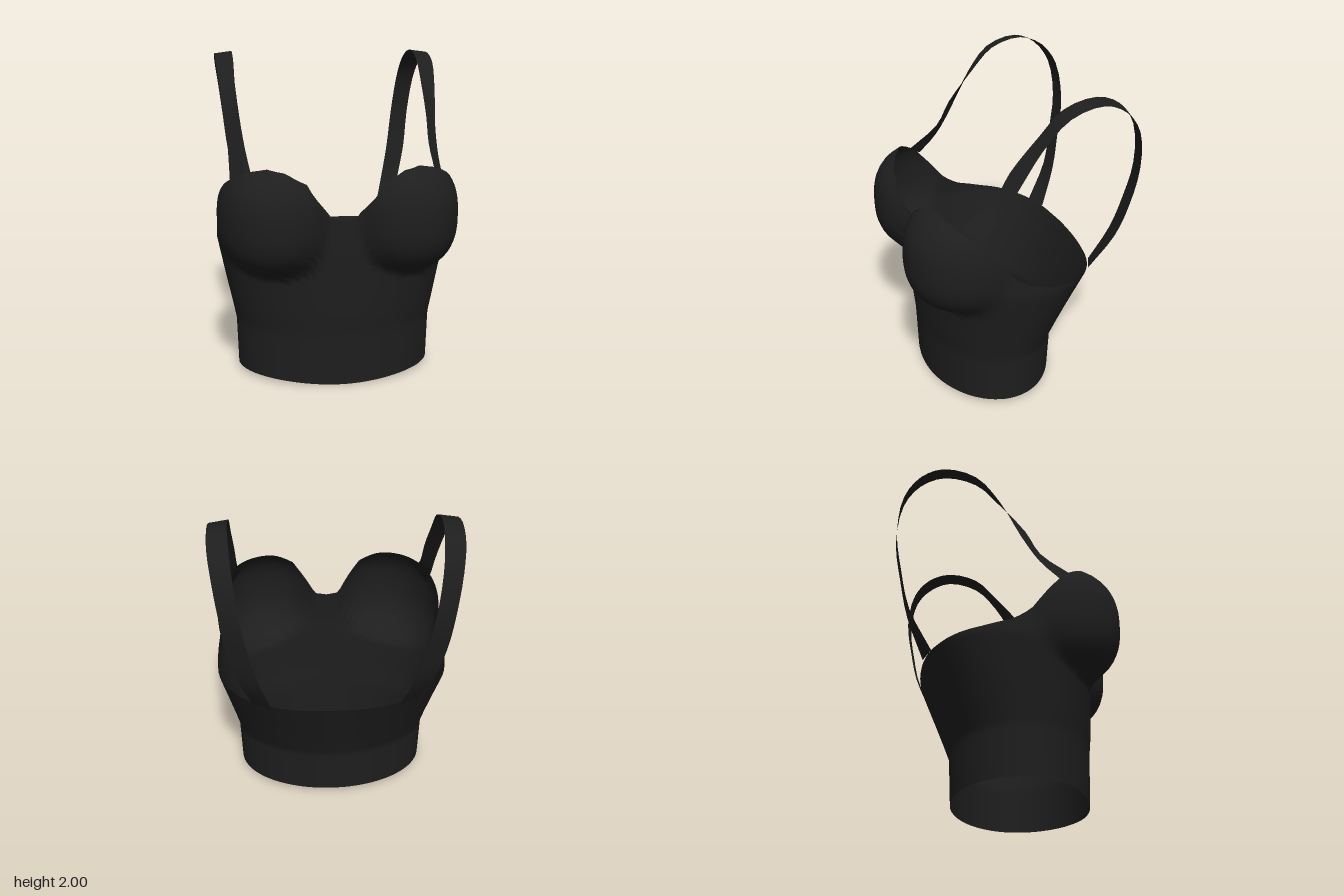
import * as THREE from 'three';

const AXIS_Z = 0.1; // the body is swept around this vertical axis

// piecewise-linear lookup in rows of [key, value, value...]
function lookup(rows, key, col) {
  if (key <= rows[0][0]) return rows[0][col];
  for (let i = 1; i < rows.length; i++) {
    const a = rows[i - 1], b = rows[i];
    if (key <= b[0]) return a[col] + (b[col] - a[col]) * (key - a[0]) / (b[0] - a[0]);
  }
  return rows[rows.length - 1][col];
}

// torso sections: height, half width, front z, back z, roundness exponent
const SECTIONS = [
  [0.0, 0.62, 0.51, -0.33, 2.0],
  [0.33, 0.63, 0.52, -0.345, 2.0],
  [0.45, 0.655, 0.53, -0.39, 2.1],
  [0.6, 0.688, 0.535, -0.45, 2.2],
  [0.85, 0.74, 0.54, -0.55, 2.45],
  [1.05, 0.73, 0.53, -0.57, 2.4],
  [1.4, 0.66, 0.48, -0.57, 2.2],
];

// neckline from centre front round to centre back: x, z, height
const NECKLINE = [
  [0, 0.53, 1.045], [0.08, 0.53, 1.06], [0.16, 0.57, 1.18], [0.24, 0.6, 1.28],
  [0.36, 0.57, 1.345], [0.48, 0.53, 1.365], [0.57, 0.47, 1.345], [0.62, 0.41, 1.31],
  [0.66, 0.32, 1.25], [0.7, 0.22, 1.12], [0.725, 0.13, 1.0], [0.735, 0.03, 0.93],
  [0.74, -0.15, 0.885], [0.6, -0.4, 0.845], [0.25, -0.53, 0.82], [0, -0.54, 0.82],
].map(([x, z, y]) => [Math.atan2(x, z - AXIS_Z), y]);

function torsoRadius(sx, cz, y) {
  const [w, f, b, n] = [1, 2, 3, 4].map((c) => lookup(SECTIONS, y, c));
  const mid = (f + b) / 2, depth = (f - b) / 2;
  let lo = 0, hi = 1.2;
  for (let i = 0; i < 24; i++) {
    const r = (lo + hi) / 2;
    const d = Math.abs(r * sx / w) ** n + Math.abs((AXIS_Z + r * cz - mid) / depth) ** n;
    if (d < 1) lo = r; else hi = r;
  }
  return lo;
}

// far side of the rounded cup along a ray from the axis
function cupRadius(sx, cz, y) {
  const dy = Math.abs(y - 1.04) / 0.36;
  if (dy >= 1 || cz < -0.3) return 0;
  const s = (1 - dy ** 2.5) ** 0.4;
  const rx = 0.355 * s, rz = 0.393 * s, ox = -0.39 / rx, oz = (AXIS_Z - 0.3) / rz;
  const dx = Math.abs(sx) / rx, dz = cz / rz;
  const a = dx * dx + dz * dz, b = ox * dx + oz * dz, c = ox * ox + oz * oz - 1;
  const disc = b * b - a * c;
  return disc < 0 ? 0 : (-b + Math.sqrt(disc)) / a;
}

function smoothMax(a, b, k) {
  const h = Math.max(k - Math.abs(a - b), 0) / k;
  return Math.max(a, b) + h * h * k * 0.25;
}

function gridGeometry(positions, index) {
  const g = new THREE.BufferGeometry();
  g.setAttribute('position', new THREE.Float32BufferAttribute(positions, 3));
  g.setIndex(index);
  g.computeVertexNormals();
  return g;
}

function bodiceGeometry() {
  const cols = 112, rows = 36, pos = [], index = [];
  for (let j = 0; j <= rows; j++) {
    for (let i = 0; i < cols; i++) {
      const t = (i / cols) * Math.PI * 2 - Math.PI;
      const sx = Math.sin(t), cz = Math.cos(t);
      const bottom = 0.027 - 0.027 * Math.max(0, cz) ** 2;
      const y = bottom + (lookup(NECKLINE, Math.abs(t), 1) - bottom) * j / rows;
      const r = smoothMax(torsoRadius(sx, cz, y), cupRadius(sx, cz, y), 0.02);
      pos.push(r * sx, y, AXIS_Z + r * cz);
      if (j < rows) {
        const a = j * cols + i, b = j * cols + (i + 1) % cols;
        index.push(a, b, a + cols, b, b + cols, a + cols);
      }
    }
  }
  return gridGeometry(pos, index);
}

// strap edges from cup to back: inner x, y, z, outer x, y, z
const STRAP = [
  [0.58, 1.31, 0.4, 0.66, 1.24, 0.31],
  [0.59, 1.455, 0.2, 0.66, 1.36, 0.19],
  [0.595, 1.61, 0.11, 0.665, 1.53, 0.08],
  [0.6, 1.81, -0.06, 0.69, 1.76, -0.05],
  [0.6, 1.95, -0.2, 0.71, 1.93, -0.2],
  [0.6, 2.0, -0.4, 0.713, 1.985, -0.4],
  [0.59, 1.94, -0.55, 0.71, 1.925, -0.54],
  [0.575, 1.8, -0.652, 0.69, 1.79, -0.64],
  [0.545, 1.54, -0.69, 0.66, 1.55, -0.675],
  [0.51, 1.3, -0.655, 0.63, 1.3, -0.64],
  [0.46, 1.07, -0.605, 0.575, 1.07, -0.585],
  [0.39, 0.82, -0.505, 0.51, 0.83, -0.45],
];

function strapGeometry(side) {
  const edge = (o) => new THREE.CatmullRomCurve3(
    STRAP.map((p) => new THREE.Vector3(p[o] * side, p[o + 1], p[o + 2])));
  const inner = edge(0), outer = edge(3), n = 33, pos = [], index = [];
  for (let i = 0; i <= n; i++) {
    pos.push(...inner.getPoint(i / n).toArray(), ...outer.getPoint(i / n).toArray());
    if (i < n) {
      const a = i * 2;
      if (side > 0) index.push(a, a + 1, a + 2, a + 1, a + 3, a + 2);
      else index.push(a, a + 2, a + 1, a + 1, a + 2, a + 3);
    }
  }
  return gridGeometry(pos, index);
}

export function createModel() {
  const group = new THREE.Group();
  const fabric = new THREE.MeshStandardMaterial({ color: 0x1e1e1e, side: THREE.DoubleSide });
  fabric.name = 'black fabric';
  const add = (name, geometry) => {
    const mesh = new THREE.Mesh(geometry, fabric);
    mesh.name = name;
    group.add(mesh);
  };
  add('bodice', bodiceGeometry());
  add('leftStrap', strapGeometry(1));
  add('rightStrap', strapGeometry(-1));
  return group;
}
